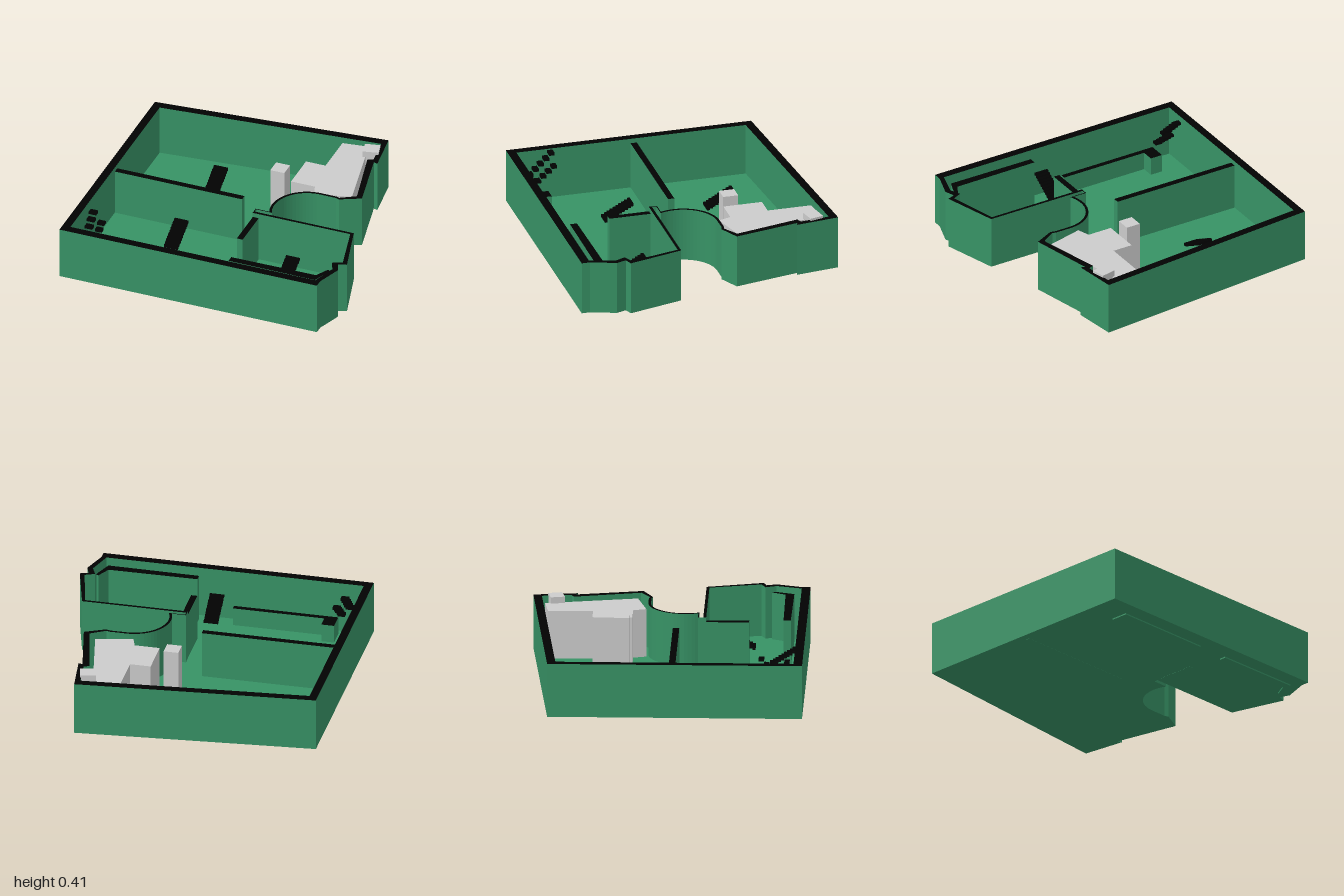
import * as THREE from 'three';

const green = new THREE.MeshStandardMaterial({ color: 0x379265 });
const black = new THREE.MeshStandardMaterial({ color: 0x020202 });
const grey = new THREE.MeshStandardMaterial({ color: 0xcccccc });

const BASE = 0.009, WALL_TOP = 0.388, INNER_BASE = 0.008, INNER_TOP = 0.355;

// Points of the round notch, from its rear to its inner end (plan x, z)
function notch(radius, endDegrees) {
  const points = [];
  for (let i = 0; i <= 20; i++) {
    const a = THREE.MathUtils.degToRad(270 + (endDegrees - 270) * i / 20);
    points.push([0.492 + radius * Math.cos(a), 0.105 + radius * Math.sin(a)]);
  }
  return points;
}

const outer = [
  [-1, -0.803], [0.672, -0.95], [0.712, -0.645], [0.682, -0.655], [0.78, -0.195],
  [0.637, -0.125], [0.61, -0.135], ...notch(0.24, 155.4),
  [0.158, 0.205], [0.158, 0.235], [0.893, 0.235], [1, 0.625], [0.943, 0.645],
  [0.968, 0.715], [0.908, 0.89], [0.908, 0.95], [-1, 0.95],
];
const inner = [
  [-0.943, -0.748], [0.642, -0.89], [0.667, -0.685], [0.628, -0.67], [0.737, -0.21],
  [0.632, -0.145], [0.61, -0.153], ...notch(0.258, 158.8),
  [0.151, 0.198], [0.151, 0.255], [0.875, 0.255], [0.963, 0.61], [0.895, 0.64],
  [0.928, 0.715], [0.873, 0.89], [-0.943, 0.89],
];

const toVectors = (points) => points.map(([x, z]) => new THREE.Vector2(x, -z));

// Upright prism over a plan outline, with its own material on the top face
function prism(name, plan, y0, y1, side, top = side, hole = null) {
  const shape = new THREE.Shape(toVectors(plan));
  // The hole runs against the outline so that its walls face inward
  if (hole) shape.holes.push(new THREE.Path(toVectors(hole).reverse()));
  const geometry = new THREE.ExtrudeGeometry(shape, { depth: y1 - y0, bevelEnabled: false });
  // The cap group holds the lower face first, then the upper one
  const half = geometry.groups[0].count / 2;
  const total = geometry.attributes.position.count;
  geometry.clearGroups();
  geometry.addGroup(0, half, 0);
  geometry.addGroup(half, half, 1);
  geometry.addGroup(half * 2, total - half * 2, 0);
  geometry.rotateX(-Math.PI / 2).translate(0, y0, 0);
  const mesh = new THREE.Mesh(geometry, [side, top]);
  mesh.name = name;
  return mesh;
}

// Box given by its limits in plan and height
function block(name, x0, x1, z0, z1, y0, y1, side, top = side) {
  return prism(name, [[x0, z0], [x1, z0], [x1, z1], [x0, z1]], y0, y1, side, top);
}

// Flight of thin treads running from z0 to z1, with heights from y0 to y1
function stairs(name, x0, x1, z0, z1, y0, y1, count = 10) {
  const group = new THREE.Group();
  group.name = name;
  const step = (z1 - z0) / count;
  for (let i = 0; i < count; i++) {
    const y = THREE.MathUtils.lerp(y0, y1, i / (count - 1));
    group.add(block('tread', x0, x1, z0 + i * step, z0 + (i + 1) * step, y - 0.02, y, black));
  }
  return group;
}

export function createModel() {
  const model = new THREE.Group();
  model.name = 'floorPlan';

  // Floor and outer walls
  model.add(prism('floor', outer, BASE, 0.02, green));
  model.add(prism('outerWall', outer, 0.02, WALL_TOP, green, black, inner));

  // Inner walls
  model.add(block('partitionWall', -0.943, 0, 0.03, 0.075, INNER_BASE, INNER_TOP, green, black));
  model.add(block('roomWall', 0.153, 0.196, 0.255, 0.55, INNER_BASE, INNER_TOP, green, black));
  model.add(prism('lowFrontWall', [
    [-0.775, 0.71], [-0.685, 0.71], [-0.685, 0.8], [-0.04, 0.8], [-0.04, 0.837], [-0.775, 0.837],
  ], 0, 0.15, green, black));
  model.add(prism('roomFrontWall', [
    [0.207, 0.785], [0.833, 0.78], [0.883, 0.685], [0.898, 0.69], [0.896, 0.715],
    [0.848, 0.84], [0.207, 0.835],
  ], 0, INNER_TOP, green, black));

  // Flights of stairs in the rooms
  model.add(stairs('backRoomStairs', -0.437, -0.335, -0.5, -0.3, 0.19, 0.09));
  model.add(stairs('frontRoomStairs', -0.437, -0.335, 0.225, 0.43, 0.19, 0.09));
  model.add(stairs('sideRoomStairs', 0.452, 0.552, 0.38, 0.585, 0.19, 0.09));
  model.add(stairs('entranceStairs', 0.042, 0.142, 0.695, 0.89, 0.09, 0.2));

  // Stepped pieces in the front corner
  model.add(stairs('cornerSteps', -0.89, -0.835, 0.648, 0.835, 0.405, 0.26, 5));
  model.add(stairs('cornerSteps', -0.83, -0.78, 0.645, 0.835, 0.33, 0.2, 5));

  // Grey core, pillar and turned corner block
  model.add(prism('coreBlock', [
    [0.375, -0.84], [0.56, -0.865], [0.692, -0.23], [0.437, -0.165], [0.407, -0.255],
    [0.23, -0.255], [0.23, -0.53], [0.375, -0.53],
  ], 0.02, 0.36, grey));
  model.add(block('pillar', 0.07, 0.174, -0.377, -0.27, 0.02, 0.405, grey));
  model.add(prism('cornerPillar', [
    [0.548, -0.825], [0.654, -0.847], [0.678, -0.752], [0.57, -0.728],
  ], 0.02, 0.405, grey));

  return model;
}
